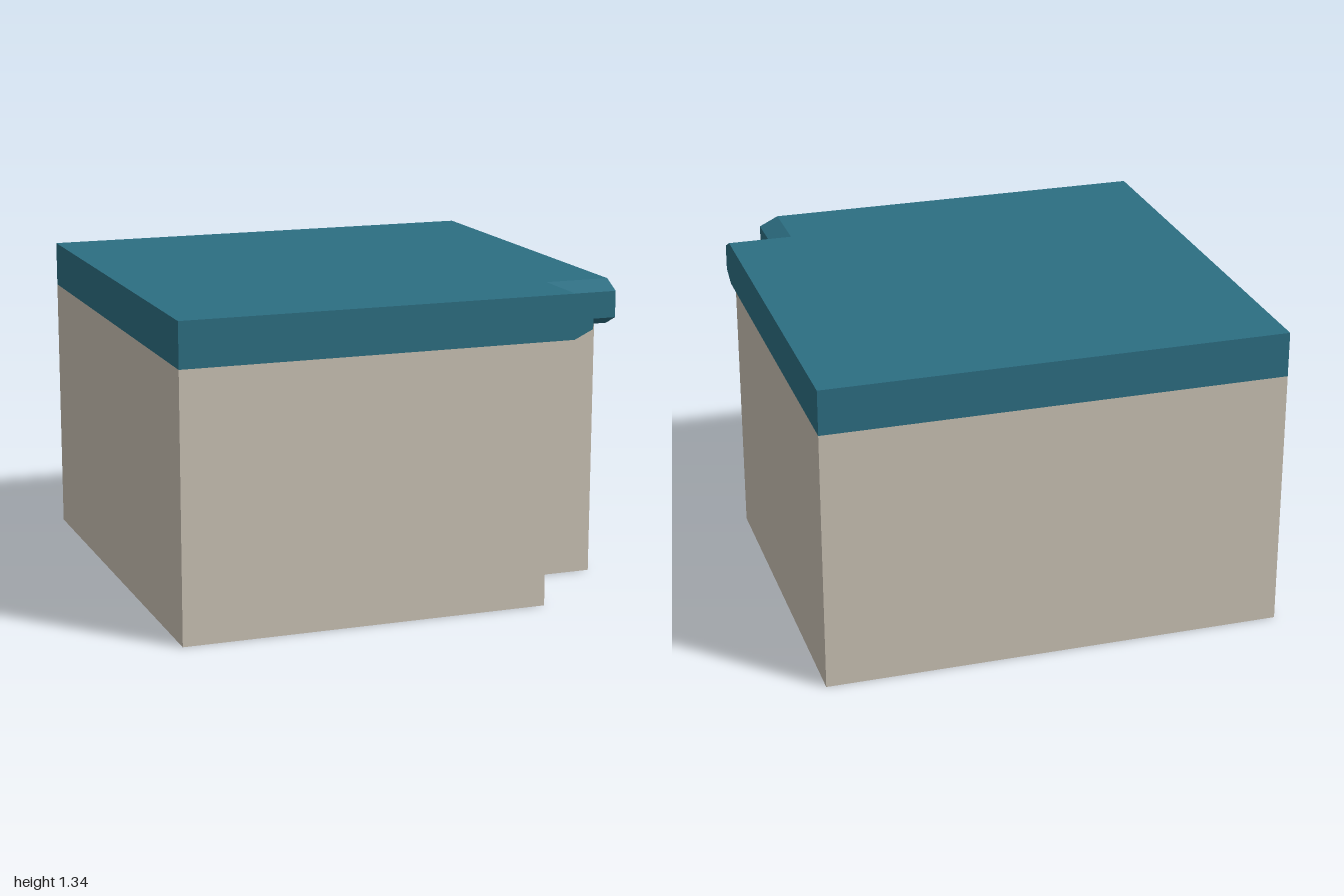
import * as THREE from 'three';

const wallStone = new THREE.MeshStandardMaterial({ color: 0xcac2b4, side: THREE.DoubleSide });
wallStone.name = 'wallStone';
const roofTeal = new THREE.MeshStandardMaterial({ color: 0x2c6e82, side: THREE.DoubleSide });
roofTeal.name = 'roofTeal';

// Square outline with its front left corner cut back to n.
const outline = (n) => [[-1, -1], [-1, 1], [n, 1], [n, n], [1, n], [1, -1]];

// Lofts a hollow shell through [height, notch] sections, optionally capped on top.
function shell(name, sections, material, capped) {
  const pos = [];
  const tri = (...pts) => pts.forEach((p) => pos.push(...p));
  const rings = sections.map(([y, n]) => outline(n).map(([x, z]) => [x, y, z]));
  for (let r = 0; r + 1 < rings.length; r++) {
    const flat = sections[r][0] === sections[r + 1][0];
    for (let i = 0; i < 6; i++) {
      if (flat && i !== 2 && i !== 3) continue; // level sections differ only at the notch
      const j = (i + 1) % 6;
      const [a, b, c, d] = [rings[r][i], rings[r][j], rings[r + 1][j], rings[r + 1][i]];
      tri(a, b, c, a, c, d);
    }
  }
  if (capped) {
    // Fan from the inner corner of the notch
    const top = rings[rings.length - 1];
    for (let k = 4; k < 8; k++) tri(top[3], top[k % 6], top[(k + 1) % 6]);
  }
  const geo = new THREE.BufferGeometry();
  geo.setAttribute('position', new THREE.Float32BufferAttribute(pos, 3));
  geo.computeVertexNormals();
  const mesh = new THREE.Mesh(geo, material);
  mesh.name = name;
  return mesh;
}

export function createModel() {
  const group = new THREE.Group();
  group.name = 'notchedBuildingBlock';
  // Open-bottomed walls
  group.add(shell('walls', [[0, 0.6], [1.144, 0.6]], wallStone, false));
  // Roof slab with a bevelled overhang around the notch
  group.add(shell('roof', [
    [1.144, 0.6], [1.144, 0.714], [1.184, 0.798], [1.298, 0.798], [1.339, 0.714],
  ], roofTeal, true));
  return group;
}
